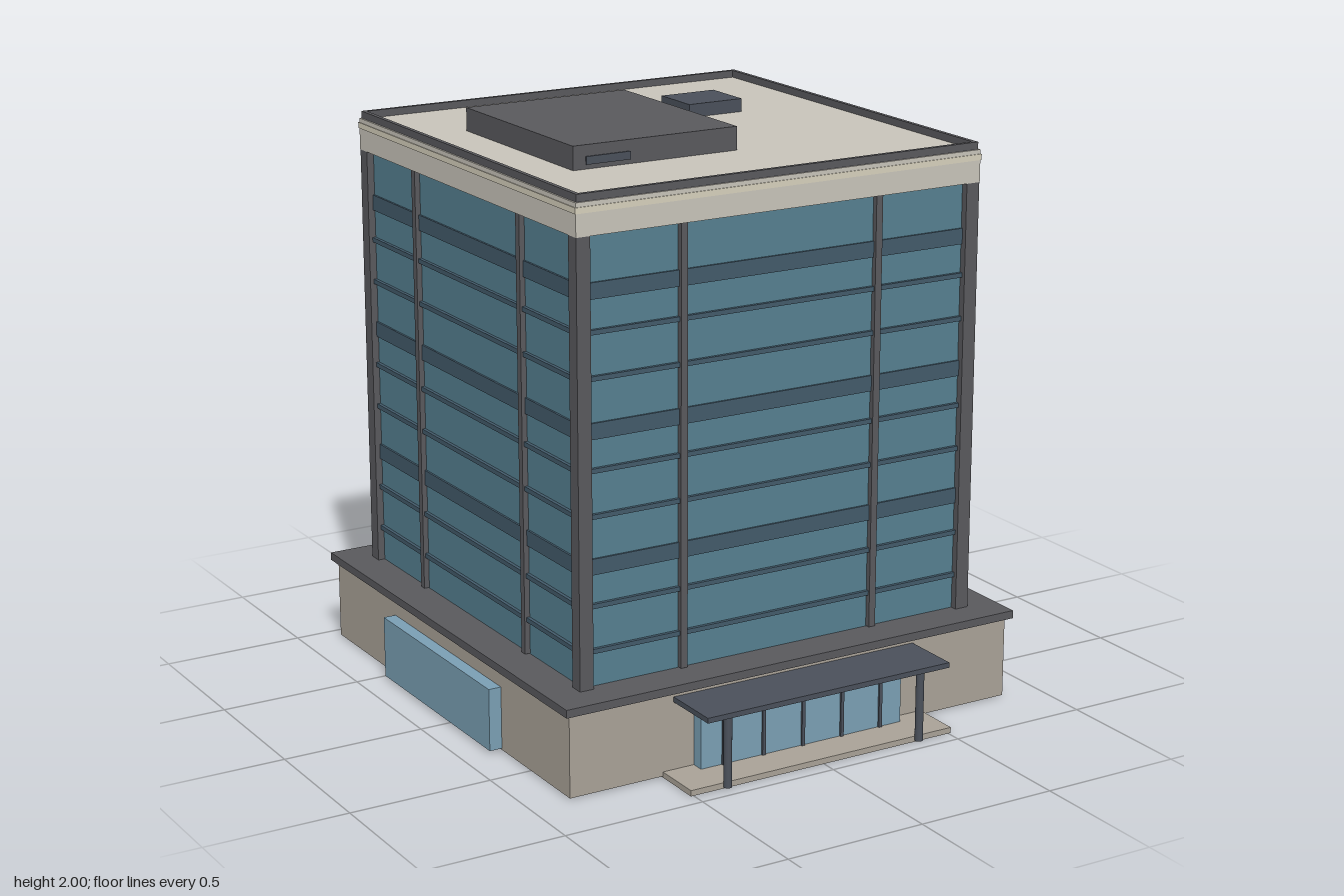
import * as THREE from 'three';

const mat = (color) => new THREE.MeshStandardMaterial({ color });
const M = {
  stone: mat(0xa9a297), pale: mat(0xc8c4ba), trim: mat(0xd6d0bc), metal: mat(0x59595d),
  slate: mat(0x4a505a), glass: mat(0x557f90), band: mat(0x435a6a), window: mat(0x7a9fb4),
};
const CZ = -0.085; // the building sits behind the entrance porch

// Box from its minimum and maximum corners
function box(parent, name, m, x0, x1, y0, y1, z0, z1) {
  const mesh = new THREE.Mesh(new THREE.BoxGeometry(x1 - x0, y1 - y0, z1 - z0), m);
  mesh.position.set((x0 + x1) / 2, (y0 + y1) / 2, (z0 + z1) / 2);
  mesh.name = name;
  parent.add(mesh);
  return mesh;
}

// Square block centred on the building axis
const block = (parent, name, m, half, y0, y1) => box(parent, name, m, -half, half, y0, y1, -half, half);

// One facade facing +z: mullions and horizontal bands over the glass
function facade(angle) {
  const g = new THREE.Group();
  g.name = 'facade';
  g.rotation.y = angle;
  for (const x of [-0.37, 0.37]) box(g, 'mullion', M.metal, x - 0.0125, x + 0.0125, 0.32, 1.81, 0.73, 0.757);
  for (const y of [0.697, 1.147, 1.602]) box(g, 'spandrel', M.band, -0.715, 0.715, y, y + 0.054, 0.73, 0.745);
  for (const y of [0.44, 0.593, 0.893, 1.045, 1.347, 1.497])
    box(g, 'transom', M.band, -0.715, 0.715, y - 0.008, y + 0.008, 0.73, 0.75);
  return g;
}

export function createModel() {
  const model = new THREE.Group();
  model.name = 'officeBuilding';
  const b = new THREE.Group();
  b.name = 'building';
  b.position.z = CZ;
  model.add(b);

  // Podium and its ledge
  block(b, 'podium', M.stone, 0.855, 0.005, 0.29);
  block(b, 'podiumLedge', M.metal, 0.875, 0.29, 0.318);

  // Tower
  block(b, 'towerGlass', M.glass, 0.738, 0.318, 1.81);
  for (let i = 0; i < 4; i++) {
    b.add(facade(i * Math.PI / 2));
    const g = new THREE.Group();
    g.name = 'podiumSide';
    g.rotation.y = i * Math.PI / 2;
    box(g, 'podiumWindow', M.window, -0.393, 0.393, 0.01, 0.228, 0.84, 0.9);
    b.add(g);
  }
  for (const sx of [-1, 1]) for (const sz of [-1, 1]) {
    const c = box(b, 'cornerColumn', M.metal, -0.025, 0.025, 0.318, 1.81, -0.025, 0.025);
    c.position.x = sx * 0.738;
    c.position.z = sz * 0.738;
  }

  // Parapet, trim strip and thin roof rail
  block(b, 'parapet', M.pale, 0.764, 1.81, 1.92);
  block(b, 'parapetTrim', M.trim, 0.767, 1.885, 1.905);
  for (let i = 0; i < 4; i++) {
    const g = new THREE.Group();
    g.name = 'railSide';
    g.rotation.y = i * Math.PI / 2;
    box(g, 'roofRail', M.metal, -0.758, 0.743, 1.92, 1.945, 0.743, 0.758);
    b.add(g);
  }

  // Rooftop equipment
  box(model, 'plantRoom', M.metal, -0.547, 0.07, 1.92, 2, -0.463, 0.275);
  box(model, 'plantLouvre', M.slate, -0.5, -0.335, 1.935, 1.962, 0.27, 0.28);
  box(model, 'roofUnit', M.slate, 0.215, 0.428, 1.92, 1.966, -0.453, -0.265);

  // Entrance porch
  box(model, 'entranceSlab', M.stone, -0.51, 0.51, 0, 0.02, 0.75, 0.945);
  box(model, 'canopy', M.slate, -0.47, 0.47, 0.255, 0.273, 0.765, 0.982);
  for (const x of [-0.375, 0.375]) {
    const post = new THREE.Mesh(new THREE.CylinderGeometry(0.014, 0.014, 0.25, 16), M.slate);
    post.position.set(x, 0.13, 0.95);
    post.name = 'canopyPost';
    model.add(post);
  }
  for (let i = -2; i <= 2; i++)
    box(model, 'entranceMullion', M.slate, i * 0.154 - 0.006, i * 0.154 + 0.006, 0.02, 0.228, 0.81, 0.822);

  return model;
}
